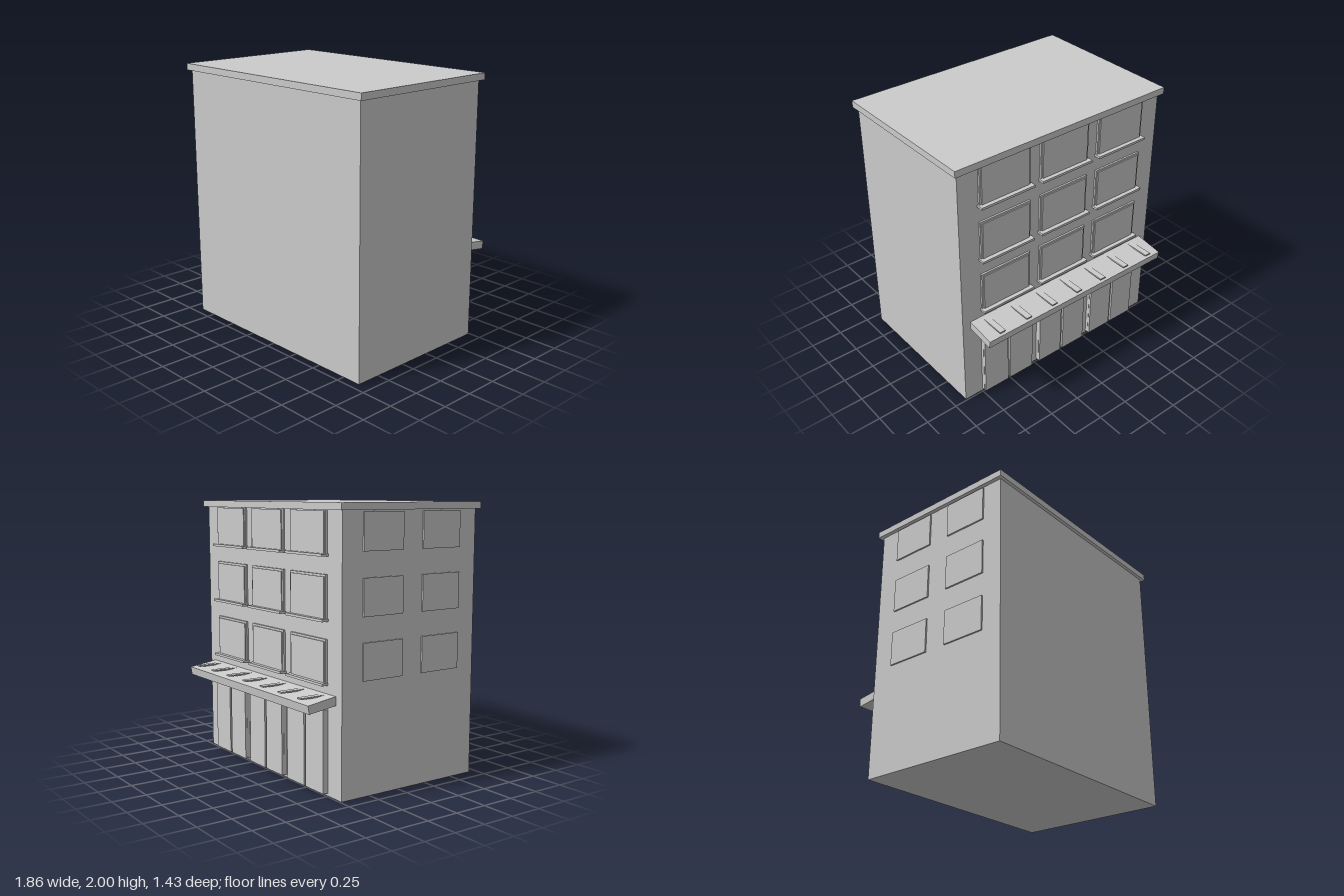
import * as THREE from 'three';

const material = new THREE.MeshStandardMaterial({ color: 0xcccccc, flatShading: true });
const WALL = -0.49; // street wall, facing -z

// Box given by its extents on each axis
function box(parent, name, [x0, x1], [y0, y1], [z0, z1]) {
  const mesh = new THREE.Mesh(new THREE.BoxGeometry(x1 - x0, y1 - y0, z1 - z0), material);
  mesh.position.set((x0 + x1) / 2, (y0 + y1) / 2, (z0 + z1) / 2);
  mesh.name = name;
  parent.add(mesh);
  return mesh;
}

function group(parent, name, x = 0, y = 0, z = 0) {
  const g = new THREE.Group();
  g.name = name;
  g.position.set(x, y, z);
  parent.add(g);
  return g;
}

export function createModel() {
  const model = new THREE.Group();
  model.name = 'building';

  box(model, 'walls', [-0.9, 0.9], [0, 1.95], [WALL, 0.69]);
  box(model, 'roofSlab', [-0.93, 0.93], [1.95, 2], [-0.52, 0.715]);

  const columns = [-0.52, 0, 0.52];
  const floors = [0.775, 1.21, 1.645];

  for (const y of floors) {
    // Street windows: frame, raised pane and sill
    for (const x of columns) {
      const w = group(model, 'streetWindow', x, y, WALL);
      box(w, 'windowFrame', [-0.215, 0.215], [0.015, 0.315 - (y > 1.6 ? 0.01 : 0)], [-0.014, 0.01]);
      box(w, 'windowPane', [-0.2, 0.2], [0.018, 0.3], [-0.022, 0.01]);
      box(w, 'windowSill', [-0.225, 0.225], [0, 0.018], [-0.053, 0.01]);
    }
    // Flat windows on the right side wall
    for (const z of [-0.15, 0.365]) {
      box(model, 'sideWindow', [-0.912, -0.89], [y + 0.035, y + 0.295], [z - 0.17, z + 0.17]);
    }
  }

  // Ground floor double doors
  for (const x of columns) {
    const d = group(model, 'doubleDoor', x, 0, WALL);
    box(d, 'doorBacking', [-0.225, 0.225], [0.02, 0.61], [-0.025, 0.01]);
    for (const s of [-1, 1]) {
      const cx = s * 0.117;
      box(d, 'doorLeaf', [cx - 0.106, cx + 0.106], [0.021, 0.609], [-0.041, 0]);
    }
  }

  // Sloping awning, extruded along x from its side section
  const section = new THREE.Shape([[0.48, 0.717], [0.715, 0.682], [0.706, 0.621], [0.48, 0.654]]
    .map(([z, y]) => new THREE.Vector2(z, y)));
  const awningGeometry = new THREE.ExtrudeGeometry(section, { depth: 1.666, bevelEnabled: false });
  awningGeometry.rotateY(Math.PI / 2).translate(-0.833, 0, 0);
  const awning = new THREE.Mesh(awningGeometry, material);
  awning.name = 'awning';
  model.add(awning);

  // Level strips emerging from the awning slope
  for (let i = -3; i <= 3; i++) {
    const x = i * 0.238;
    box(model, 'awningStrip', [x - 0.024, x + 0.024], [0.702, 0.712], [-0.708, WALL]);
  }

  return model;
}
